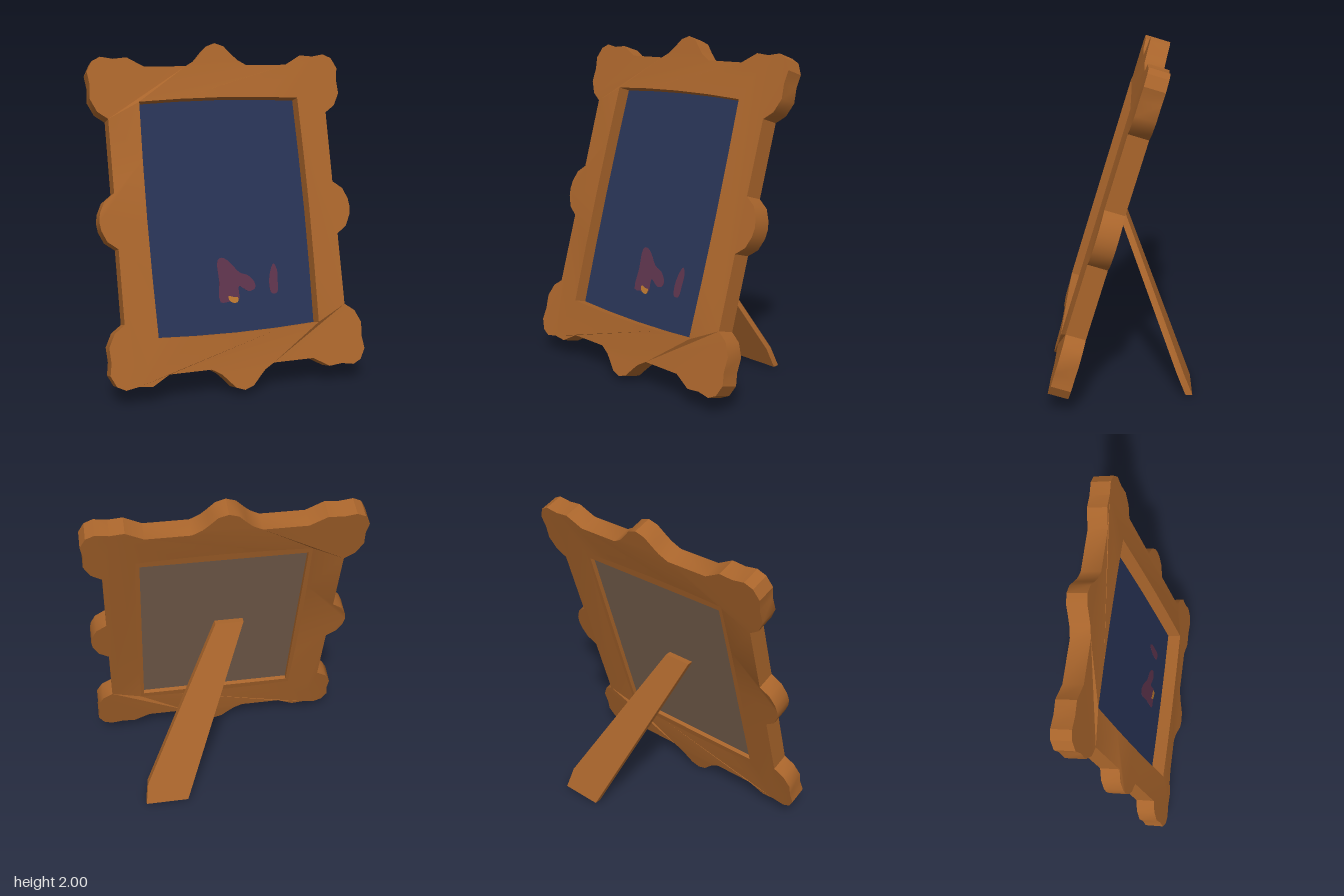
import * as THREE from 'three';
import { toCreasedNormals } from 'three/addons/utils/BufferGeometryUtils.js';

const material = (name, color) => {
  const m = new THREE.MeshStandardMaterial({ color });
  m.name = name;
  return m;
};

// Closed outline from one quadrant, mirrored over both axes (clockwise from top centre)
function mirrored(quadrant) {
  const q = quadrant.map(([x, y]) => new THREE.Vector2(x, y));
  const back = [...q].reverse();
  const flip = (list, sx, sy) => list.map((p) => new THREE.Vector2(p.x * sx, p.y * sy));
  const all = [...q, ...flip(back, 1, -1), ...flip(q, -1, -1), ...flip(back, -1, 1)];
  return all.filter((p, i) => p.distanceTo(all[(i + 1) % all.length]) > 1e-5);
}

// Slab with its back at z0; offset(x, y) slides its vertices along z
function slab(name, shape, z0, depth, mat, offset = () => 0) {
  const geo = new THREE.ExtrudeGeometry(shape, { depth, bevelEnabled: false });
  const pos = geo.attributes.position;
  for (let i = 0; i < pos.count; i++) {
    pos.setZ(i, pos.getZ(i) + z0 + offset(pos.getX(i), pos.getY(i)));
  }
  const mesh = new THREE.Mesh(toCreasedNormals(geo, 0.6), mat);
  mesh.name = name;
  return mesh;
}

// Shape with one hole, wound opposite to the outline
function ring(outer, inner) {
  const shape = new THREE.Shape(outer);
  shape.holes.push(new THREE.Path([...inner].reverse()));
  return shape;
}

// Smooth closed blob through a few points
const blob = (pts) => new THREE.Shape(
  new THREE.CatmullRomCurve3(pts.map(([x, y]) => new THREE.Vector3(x, y, 0)), true)
    .getPoints(pts.length * 3).slice(0, -1).map((p) => new THREE.Vector2(p.x, p.y)));

export function createModel() {
  const wood = material('wood', 0xa8642b);
  const blue = material('picture blue', 0x283355);
  const red = material('muted red', 0x5c334b);
  const orange = material('orange', 0xb8762f);
  const board = material('backing brown', 0x78604e);

  const model = new THREE.Group();
  model.name = 'pictureFrame';

  // Everything in the leaning plane of the frame
  const leaning = new THREE.Group();
  leaning.name = 'leaningFrame';
  leaning.position.set(0, 1.0, 0.07);
  leaning.rotation.x = -0.2923;
  model.add(leaning);

  // Scalloped frame with slightly bowed opening, its inner rim standing forward
  const outline = mirrored([
    [0, 1.025], [0.055, 1.005], [0.1, 0.955], [0.135, 0.92], [0.19, 0.888],
    [0.44, 0.888], [0.54, 0.945], [0.62, 0.937], [0.695, 0.95], [0.745, 0.925],
    [0.777, 0.862], [0.766, 0.79], [0.772, 0.705], [0.735, 0.63], [0.675, 0.587],
    [0.675, 0.16], [0.735, 0.115], [0.765, 0.05], [0.772, 0],
  ]);
  const opening = mirrored([
    [0, 0.694], [0.25, 0.69], [0.49, 0.679], [0.497, 0.34], [0.5, 0],
  ]);
  const rim = 0.016;
  leaning.add(slab('frame', ring(outline, opening), -0.0575, 0.115, wood,
    (x, y) => (Math.abs(x) < 0.51 && Math.abs(y) < 0.71 ? rim : 0)));

  // Straight-edged lip that narrows the opening at the back
  const backOpening = mirrored([[0, 0.645], [0.47, 0.645], [0.47, 0]]);
  leaning.add(slab('backLip', ring(opening, backOpening), -0.0575 + rim, 0.03, wood));

  // Picture and backing board inside the opening
  leaning.add(slab('backingBoard', new THREE.Shape(opening), -0.0155, 0.003, board));
  leaning.add(slab('picture', new THREE.Shape(opening), -0.0125, 0.003, blue));

  // Painted shapes on the picture
  const paint = -0.0095;
  leaning.add(slab('largeRedPatch', blob([
    [-0.08, -0.265], [-0.053, -0.25], [-0.01, -0.275], [0.05, -0.345], [0.1, -0.365],
    [0.138, -0.41], [0.138, -0.445], [0.1, -0.46], [0.065, -0.44], [0.04, -0.425],
    [0.035, -0.455], [0.035, -0.5], [-0.02, -0.51], [-0.083, -0.51], [-0.08, -0.39],
  ]), paint, 0.001, red));
  leaning.add(slab('smallRedPatch', blob([
    [0.268, -0.308], [0.287, -0.348], [0.285, -0.413], [0.275, -0.483],
    [0.24, -0.483], [0.23, -0.423], [0.245, -0.348],
  ]), paint, 0.001, red));
  leaning.add(slab('orangePatch', blob([
    [-0.03, -0.478], [0, -0.486], [0.027, -0.491], [0.022, -0.518], [-0.005, -0.52], [-0.028, -0.503],
  ]), paint, 0.002, orange));

  // Rear leg: upright outline sheared backwards so that it slopes to the ground
  const legShape = new THREE.Shape([
    [-0.14, 1.045], [0.03, 1.045], [0.51, 0.14], [0.53, 0.016], [0.27, 0.016],
  ].map(([x, y]) => new THREE.Vector2(x, y)));
  model.add(slab('rearLeg', legShape, -0.417, 0.04, wood, (x, y) => (y - 0.016) * 0.41));

  return model;
}
